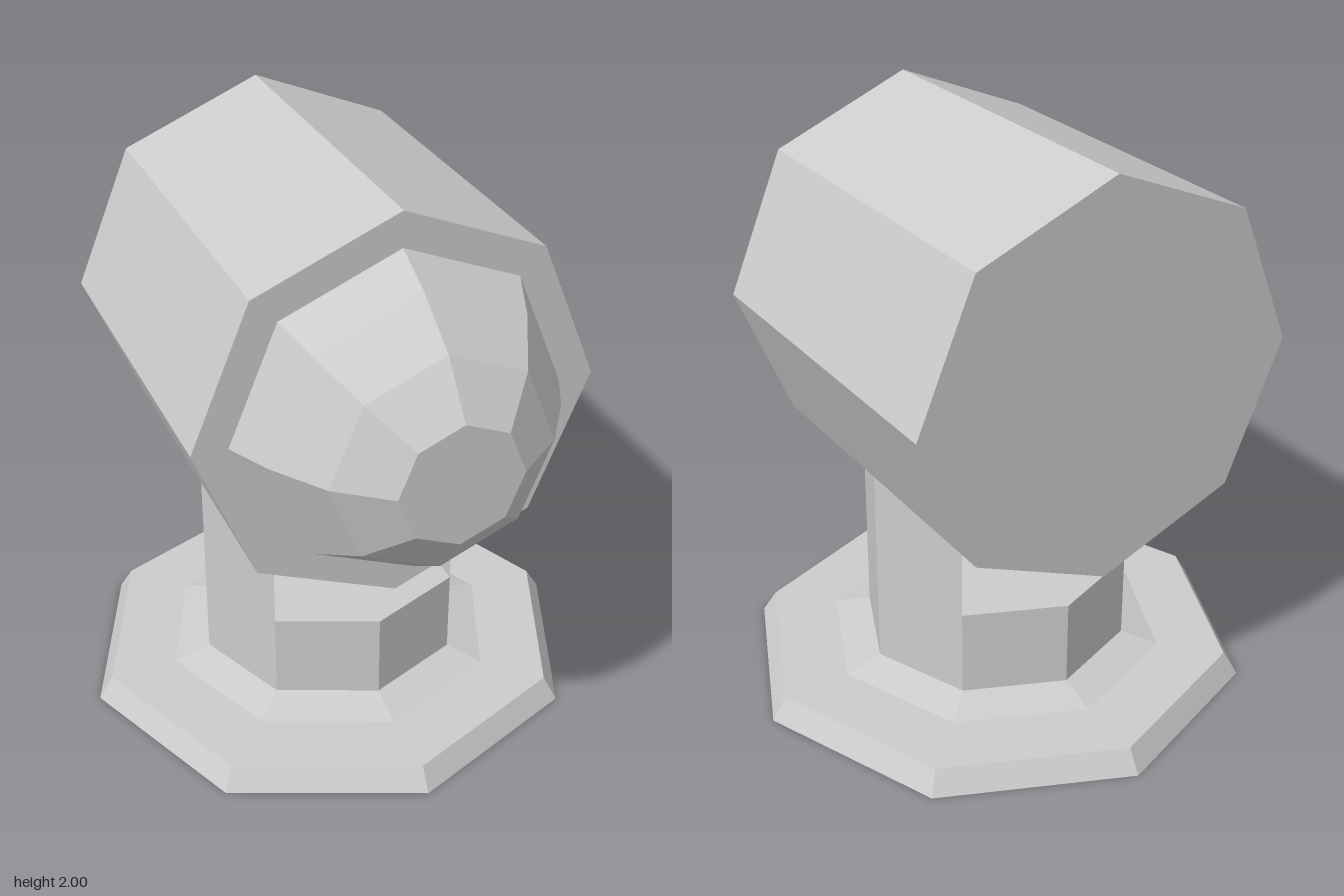
import * as THREE from 'three';

const SIDES = 8;
const BASE_Z = -0.07;   // centre line of the stand
const HEAD_Y = 1.323;   // axis height of the lamp head
const material = new THREE.MeshStandardMaterial({ color: 0xcccccc, flatShading: true });

function addMesh(parent, name, geometry) {
  const mesh = new THREE.Mesh(geometry, material);
  mesh.name = name;
  parent.add(mesh);
  return mesh;
}

// Eight-sided turned solid from [radius, height] pairs, corners on the axes
function turned(profile) {
  const points = profile.map(([r, y]) => new THREE.Vector2(r, y));
  return new THREE.LatheGeometry(points, SIDES);
}

// Triangular upright whose top follows the sloping underside of the housing
function prongGeometry(radius, bottom) {
  const inner = radius * Math.SQRT1_2;
  const shape = new THREE.Shape([
    new THREE.Vector2(inner, -inner),
    new THREE.Vector2(radius, 0),
    new THREE.Vector2(inner, inner),
  ]);
  const geometry = new THREE.ExtrudeGeometry(shape, { depth: 1, bevelEnabled: false });
  geometry.rotateX(-Math.PI / 2);
  const p = geometry.attributes.position;
  for (let i = 0; i < p.count; i++) {
    const top = 0.646 + p.getX(i) * 0.414;
    p.setY(i, p.getY(i) > 0.5 ? top : bottom);
  }
  geometry.computeVertexNormals();
  return geometry;
}

export function createModel() {
  const model = new THREE.Group();
  model.name = 'spotlight';

  // Stand: stepped foot, short pedestal and a prong on each side
  const stand = new THREE.Group();
  stand.name = 'stand';
  stand.position.z = BASE_Z;
  model.add(stand);
  addMesh(stand, 'foot', turned([[0, 0], [0.89, 0], [0.84, 0.08], [0.6, 0.08], [0.47, 0.117]]));
  addMesh(stand, 'pedestal', turned([[0.47, 0.117], [0.47, 0.423], [0, 0.423]]));
  for (const [name, turn] of [['leftProng', 0], ['rightProng', Math.PI]]) {
    addMesh(stand, name, prongGeometry(0.47, 0.423)).rotation.y = turn;
  }

  // Head: housing closed at the back, faceted lens bulging from the front
  const head = new THREE.Group();
  head.name = 'head';
  head.position.y = HEAD_Y;
  model.add(head);
  const housing = turned([[0, -0.73], [0.677, -0.73], [0.677, 0.517], [0.558, 0.517]]);
  addMesh(head, 'housing', housing.rotateX(Math.PI / 2));
  const lens = turned([[0.558, 0.517], [0.487, 0.663], [0.367, 0.838], [0.205, 0.962], [0, 0.962]]);
  addMesh(head, 'lens', lens.rotateX(Math.PI / 2));

  return model;
}
